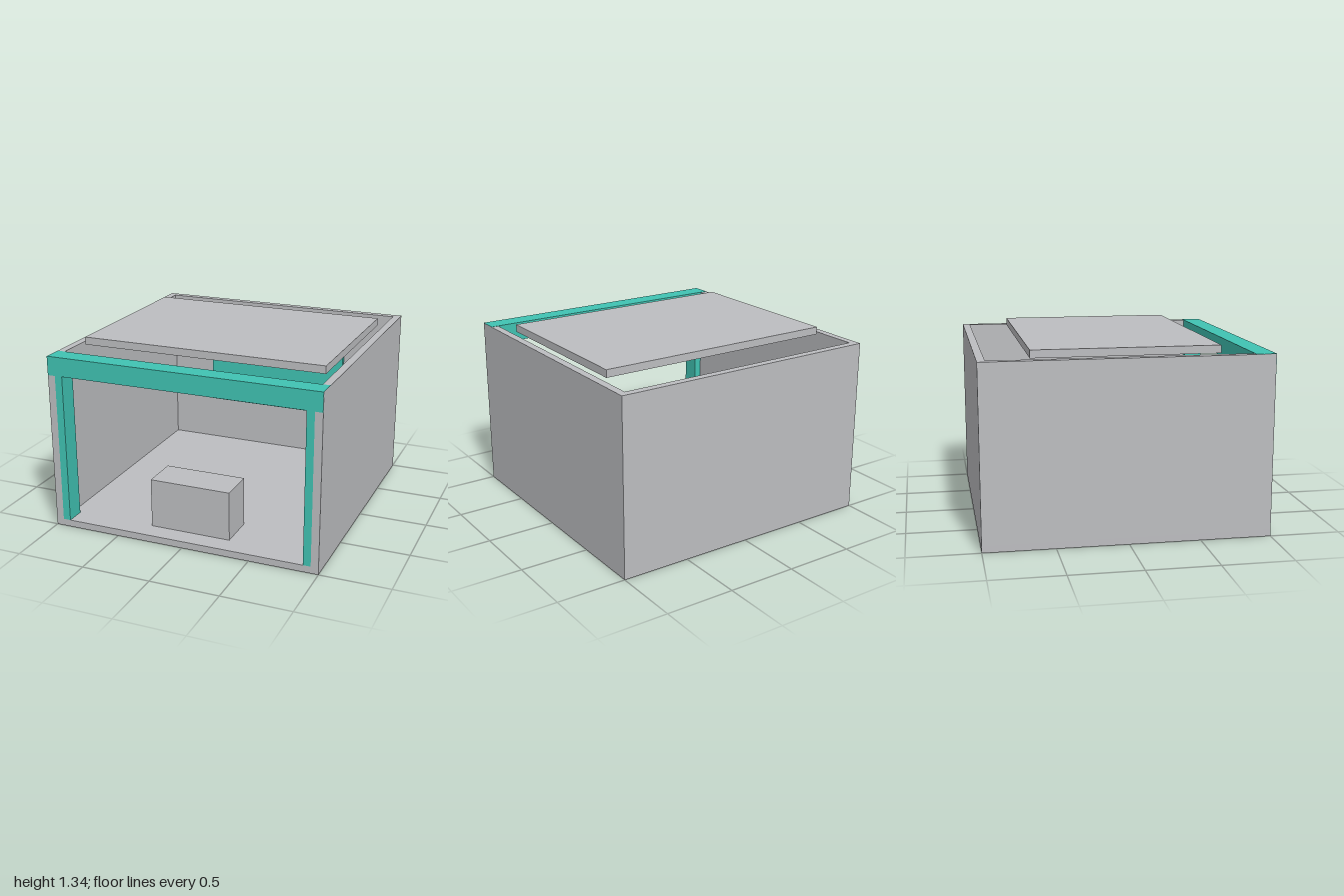
import * as THREE from 'three';

export function createModel() {
  const booth = new THREE.Group();
  booth.name = 'exhibitionBooth';

  const mat = (name, color) => {
    const m = new THREE.MeshStandardMaterial({ color });
    m.name = name;
    return m;
  };
  const grey = mat('panelGrey', 0xbcbdc0);
  const teal = mat('trimTeal', 0x40c2b2);
  const slate = mat('screenSlate', 0x4a6078);

  // Box given by its minimum and maximum corners
  const box = (name, material, [x0, y0, z0], [x1, y1, z1]) => {
    const mesh = new THREE.Mesh(new THREE.BoxGeometry(x1 - x0, y1 - y0, z1 - z0), material);
    mesh.position.set((x0 + x1) / 2, (y0 + y1) / 2, (z0 + z1) / 2);
    mesh.name = name;
    booth.add(mesh);
  };

  // Shell: floor, back wall and two side walls, open at the front and top
  box('floor', grey, [-1, 0, -1], [1, 0.05, 1]);
  box('backWall', grey, [-0.945, 0.05, -1], [0.945, 1.28, -0.945]);
  for (const s of [-1, 1]) {
    const side = s < 0 ? 'right' : 'left';
    const span = (a, b) => [Math.min(s * a, s * b), Math.max(s * a, s * b)];
    const [w0, w1] = span(0.945, 1);
    box(side + 'Wall', grey, [w0, 0.05, -1], [w1, 1.28, 1]);

    // Front post against the inside of the wall
    const [p0, p1] = span(0.89, 0.945);
    box(side + 'FrontPost', teal, [p0, 0.05, 0.86], [p1, 1.15, 1]);
  }

  // Header beam wraps the front and top of the wall ends
  box('headerBeam', teal, [-0.999, 1.145, 0.86], [0.999, 1.282, 1.002]);

  // Roof panel leaving a gap around its edges
  box('roofPanel', grey, [-0.9, 1.28, -0.65], [0.9, 1.335, 0.645]);

  // Reception counter
  box('counter', grey, [-0.3, 0.05, 0.58], [0.3, 0.41, 0.855]);

  // Wall screen with its backing plate
  box('screen', teal, [-0.57, 0.425, -0.91], [0.57, 1.06, -0.872]);
  box('screenBacking', slate, [-0.55, 0.445, -0.932], [0.55, 1.04, -0.91]);

  return booth;
}
